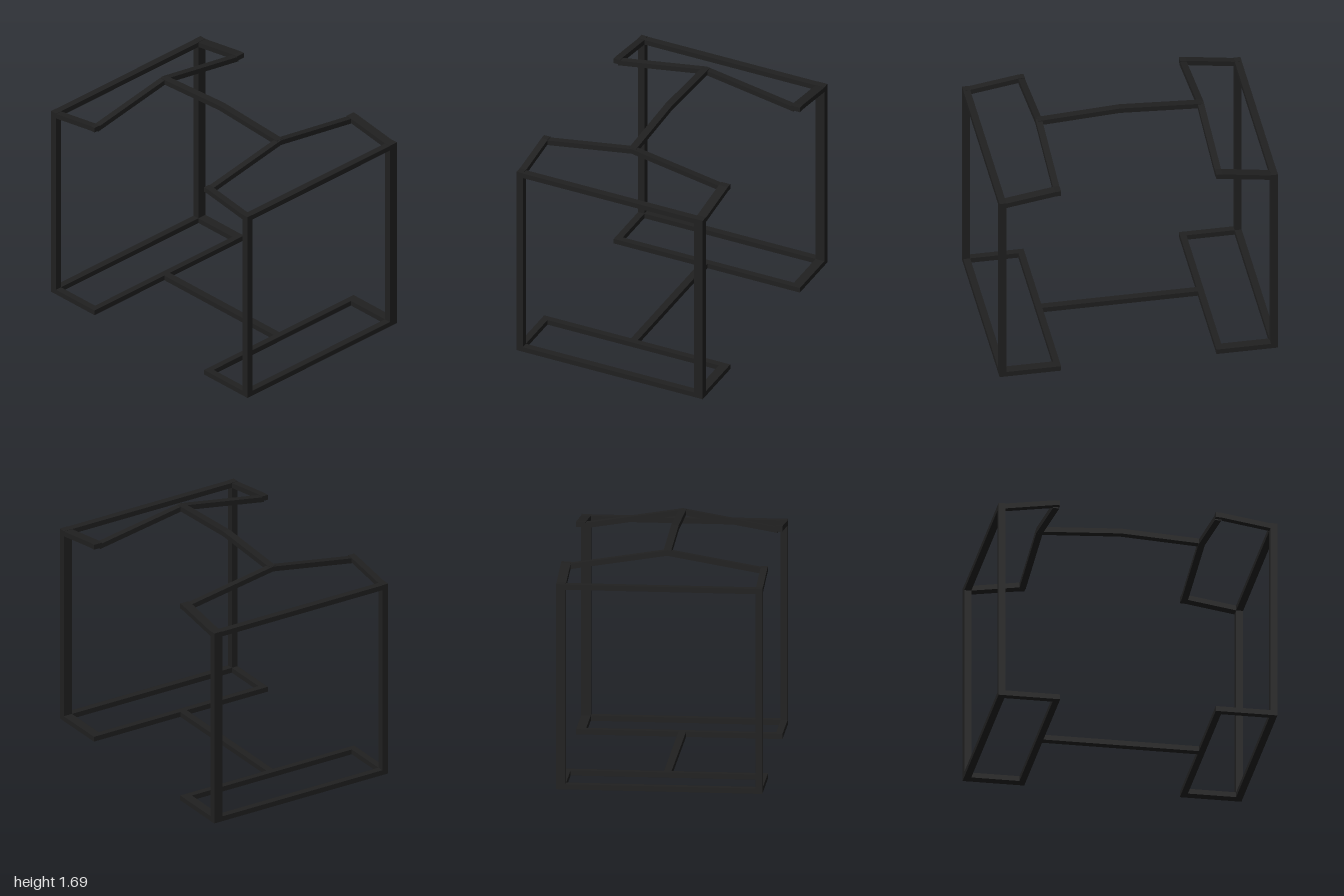
import * as THREE from 'three';

export function createModel() {
  const model = new THREE.Group();
  const black = new THREE.MeshStandardMaterial({ color: 0x202020 });
  black.name = 'blackSteel';

  const add = (name, geometry) => {
    const mesh = new THREE.Mesh(geometry, black);
    mesh.name = name;
    model.add(mesh);
  };

  // Straight bar given by its limits on each axis
  const bar = (name, x0, x1, y0, y1, z0, z1) => {
    const g = new THREE.BoxGeometry(x1 - x0, y1 - y0, z1 - z0);
    g.translate((x0 + x1) / 2, (y0 + y1) / 2, (z0 + z1) / 2);
    add(name, g);
  };

  // Sloping band: top line as [u, y] points, thickened downwards, extruded
  const band = (line, thick, depth) => {
    const lower = line.map(([u, y]) => [u, y - thick]).reverse();
    const shape = new THREE.Shape([...line, ...lower].map(([u, y]) => new THREE.Vector2(u, y)));
    return new THREE.ExtrudeGeometry(shape, { depth, bevelEnabled: false });
  };

  const sides = [['right', -0.734, -0.685], ['left', 0.662, 0.731]];
  const xMin = -0.734, xMax = 0.731, base = 0.038;
  const midX = -0.023, half = 0.027;

  for (const [end, s] of [['front', 1], ['back', -1]]) {
    const span = (a, b) => (s > 0 ? [a, b] : [-b, -a]);
    const outer = span(0.95, 1), inner = span(0.558, 0.604), between = span(0.604, 0.95);

    // Floor rectangle and upper outer rail
    bar(end + 'OuterFloorRail', xMin, xMax, 0, base, ...outer);
    bar(end + 'InnerFloorRail', xMin, xMax, 0, base, ...inner);
    bar(end + 'TopRail', -0.685, 0.662, 1.456, 1.494, ...outer);

    for (const [side, x0, x1] of sides) {
      bar(`${end}${side}FloorArm`, x0, x1, 0, base, ...between);
      bar(`${end}${side}Post`, x0, x1, base, 1.496, ...outer);

      // Arm rising inwards from the post
      const line = [[-s * 0.95, 1.494], [-s * 0.6, 1.548], [-s * 0.558, 1.55]];
      const arm = band(line, 0.038, x1 - x0);
      arm.rotateY(Math.PI / 2);
      arm.translate(x0, 0, 0);
      add(`${end}${side}TopArm`, arm);
    }

    // Shallow gable between the arm ends
    const gable = band([[-0.7, 1.541], [midX, 1.657], [0.68, 1.541]], 0.038, 0.046);
    gable.translate(0, 0, inner[0]);
    add(end + 'Gable', gable);
  }

  // Central spine on the floor and the ridge above it
  bar('floorSpine', midX - half, midX + half, 0, base, -0.558, 0.558);
  const ridge = band([[-0.59, 1.656], [0, 1.69], [0.59, 1.656]], 0.038, half * 2);
  ridge.rotateY(Math.PI / 2);
  ridge.translate(midX - half, 0, 0);
  add('ridge', ridge);

  return model;
}
